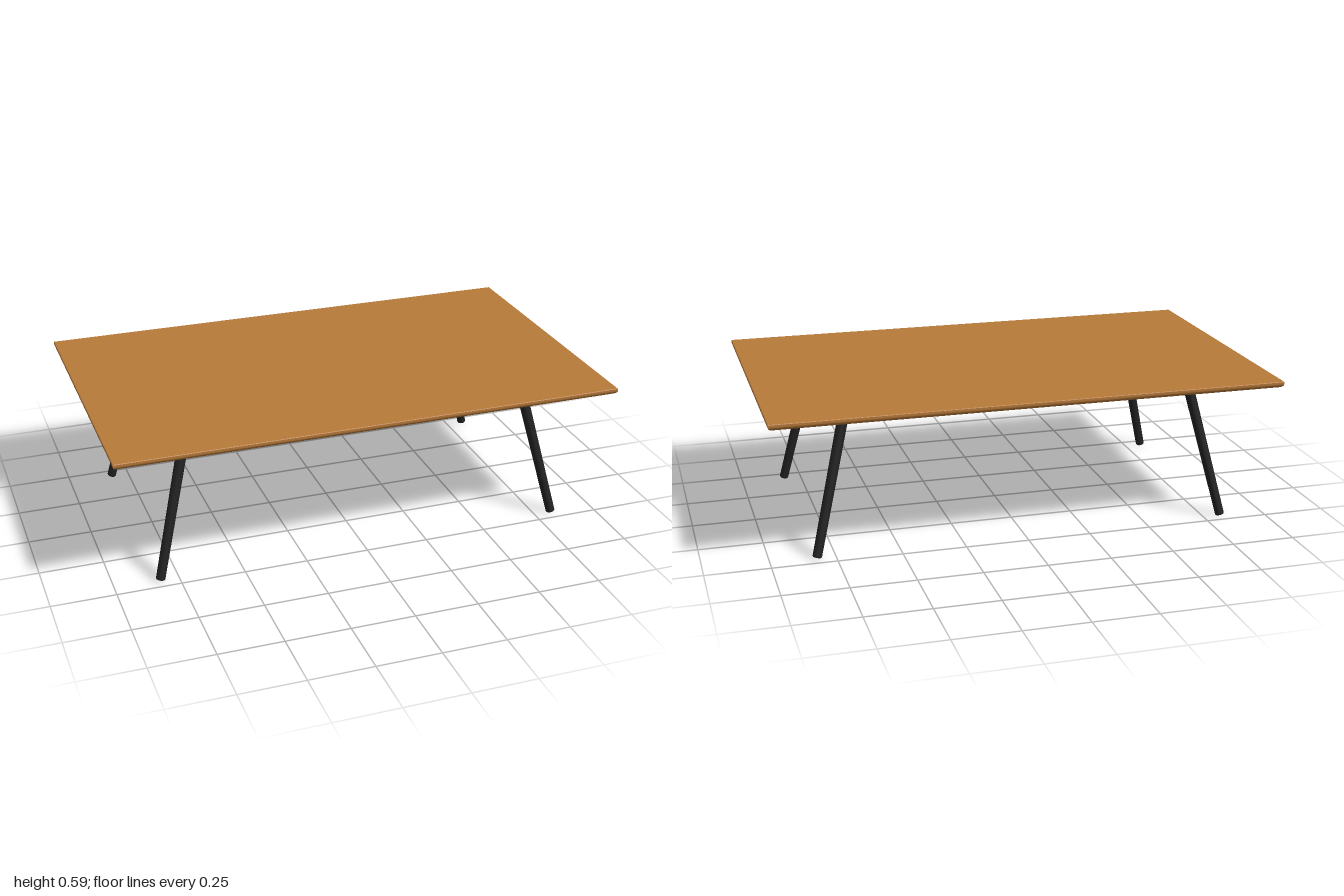
import * as THREE from 'three';
import { toCreasedNormals } from 'three/addons/utils/BufferGeometryUtils.js';

const TOP = 0.593, UNDERSIDE = 0.566;

// Rectangular slab stacked from mitred loops; each step is [inset, y], bottom to top
function slabGeometry(halfX, halfZ, steps) {
  const pos = [], index = [];
  for (const [inset, y] of steps) {
    const x = halfX - inset, z = halfZ - inset;
    pos.push(-x, y, z, x, y, z, x, y, -z, -x, y, -z);
  }
  for (let i = 0; i < steps.length - 1; i++) {
    for (let j = 0; j < 4; j++) {
      const a = i * 4 + j, b = i * 4 + (j + 1) % 4;
      index.push(a, b, b + 4, a, b + 4, a + 4);
    }
  }
  const t = (steps.length - 1) * 4;
  index.push(0, 2, 1, 0, 3, 2, t, t + 1, t + 2, t, t + 2, t + 3);
  const geo = new THREE.BufferGeometry();
  geo.setAttribute('position', new THREE.Float32BufferAttribute(pos, 3));
  geo.setIndex(index);
  return toCreasedNormals(geo, 0.5);
}

export function createModel() {
  const model = new THREE.Group();
  model.name = 'table';
  const wood = new THREE.MeshStandardMaterial({ color: 0xb87a3a });
  const black = new THREE.MeshStandardMaterial({ color: 0x222222 });

  // Table top: short upright edge, rounded in towards the underside
  const steps = [], arc = 8, insetMax = 0.024, drop = 0.019;
  for (let i = 0; i <= arc; i++) {
    const a = (i / arc) * Math.PI / 2;
    steps.push([insetMax * (1 - Math.sin(a)), UNDERSIDE + drop * (1 - Math.cos(a))]);
  }
  steps.push([0, TOP - 0.002], [0.002, TOP]);
  const top = new THREE.Mesh(slabGeometry(1, 0.6, steps), wood);
  top.name = 'tableTop';
  model.add(top);

  // Splayed round legs, slightly tapered, with a softened foot
  const up = new THREE.Vector3(0, 1, 0);
  for (const sx of [1, -1]) {
    for (const sz of [1, -1]) {
      const foot = new THREE.Vector3(0.822 * sx, 0.005, 0.453 * sz);
      const head = new THREE.Vector3(0.683 * sx, 0.572, 0.376 * sz);
      const length = foot.distanceTo(head);
      const profile = [[0, 0], [0.016, 0], [0.018, 0.003], [0.021, length], [0, length]]
        .map(([r, y]) => new THREE.Vector2(r, y));
      const leg = new THREE.Mesh(
        toCreasedNormals(new THREE.LatheGeometry(profile, 32), 0.5), black);
      leg.position.copy(foot);
      leg.quaternion.setFromUnitVectors(up, head.clone().sub(foot).normalize());
      leg.name = (sz > 0 ? 'front' : 'back') + (sx > 0 ? 'Left' : 'Right') + 'Leg';
      model.add(leg);
    }
  }
  return model;
}
